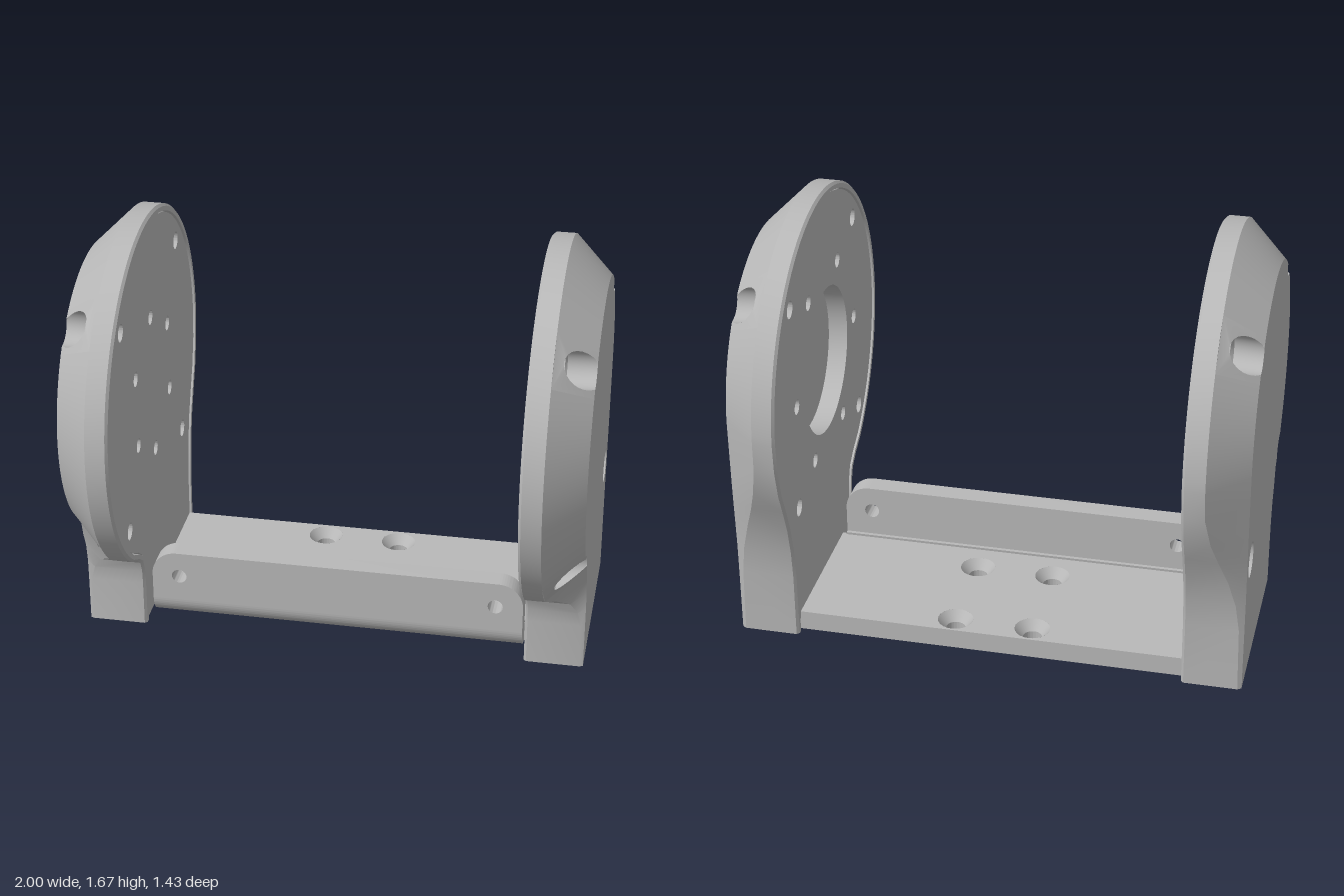
import * as THREE from 'three';
import { mergeGeometries, toCreasedNormals } from 'three/addons/utils/BufferGeometryUtils.js';

const CY = 0.965, R = 0.713, RI = 0.565;      // head centre height, rim radius, flat face radius
const HOLE = 0.43, RH = 0.608, RB = 0.07, RS = 0.035; // corner screws: offset, radius from centre, bore, shank
const FLOOR = 0.01;
const rad = THREE.MathUtils.degToRad;
const polar = (r, a) => [r * Math.cos(a), CY + r * Math.sin(a)];
const V = (p) => new THREE.Vector2(p[0], p[1]);

const grey = new THREE.MeshStandardMaterial({ color: 0xb8b8b8, side: THREE.DoubleSide });
grey.name = 'grey';

function add(parent, name, geometry) {
  const mesh = new THREE.Mesh(geometry, grey);
  mesh.name = name;
  parent.add(mesh);
  return mesh;
}
const smooth = (geo) => toCreasedNormals(geo, 0.45);

function box(parent, name, x0, x1, y0, y1, z0, z1) {
  const g = new THREE.BoxGeometry(x1 - x0, y1 - y0, z1 - z0);
  add(parent, name, g.translate((x0 + x1) / 2, (y0 + y1) / 2, (z0 + z1) / 2));
}

// Surface through rows of [x, y, z] points
function loft(rows) {
  const pos = [];
  for (let i = 0; i + 1 < rows.length; i++) {
    for (let j = 0; j + 1 < rows[i].length; j++) {
      const a = rows[i][j], b = rows[i][j + 1], c = rows[i + 1][j + 1], d = rows[i + 1][j];
      pos.push(...a, ...b, ...c, ...a, ...c, ...d);
    }
  }
  return new THREE.BufferGeometry().setAttribute('position', new THREE.Float32BufferAttribute(pos, 3));
}

// Filled outline in (z, y), lifted to x = height(z, y)
function sheet(points, height, holes = []) {
  const shape = new THREE.Shape(points.map(V));
  shape.holes = holes;
  const g = new THREE.ShapeGeometry(shape, 24).toNonIndexed();
  g.deleteAttribute('uv');
  g.deleteAttribute('normal');
  const p = g.attributes.position;
  for (let i = 0; i < p.count; i++) {
    const z = p.getX(i), y = p.getY(i);
    p.setXYZ(i, height(z, y), y, z);
  }
  return g;
}

const circle = (u, v, r) => new THREE.Path().absarc(u, v, r, 0, Math.PI * 2, true);
const extrude = (shape, depth) =>
  new THREE.ExtrudeGeometry(shape, { depth, bevelEnabled: false, curveSegments: 32 });
const cone = (z, y) => Math.min(1, 1 - (Math.hypot(z, y - CY) - RI));

// Outline stations: rim point p, face edge point q, rim depth x, angle a on the round head
function makeStations() {
  const s = [];
  const put = (pz, py, qz, qy, x) => s.push({ p: [pz, py], q: [qz, qy], x });
  put(0.27, FLOOR, 0.265, FLOOR, 0.985);
  put(0.27, 0.2, 0.265, 0.2, 0.985);
  put(0.275, 0.26, 0.267, 0.28, 0.97);
  put(0.295, 0.31, 0.28, 0.36, 0.94);
  put(0.34, 0.345, 0.31, 0.43, 0.89);
  for (let a = -54; a <= 180; a += 3) {
    s.push({ p: polar(R, rad(a)), q: polar(RI, rad(a)), x: 1 - (R - RI), a });
  }
  put(-0.702, 0.841, -0.56, 0.85, 0.855);
  put(-0.67, 0.721, -0.553, 0.7, 0.875);
  put(-0.63, 0.63, -0.547, 0.6, 0.9);
  put(-0.585, 0.52, -0.54, 0.5, 0.935);
  put(-0.555, 0.4, -0.533, 0.4, 0.965);
  put(-0.54, 0.28, -0.53, 0.28, 0.98);
  put(-0.535, FLOOR, -0.525, FLOOR, 0.985);
  return s;
}
const stations = makeStations();
const rimHoles = [-45, 45, 135];

// Rim outline moved inward
function inset(d) {
  return stations.map((s, i) => {
    const a = stations[Math.max(i - 1, 0)].p, b = stations[Math.min(i + 1, stations.length - 1)].p;
    const l = Math.hypot(b[0] - a[0], b[1] - a[1]);
    const end = i === 0 || i === stations.length - 1;
    return [s.p[0] - d * (b[1] - a[1]) / l, end ? FLOOR : s.p[1] + d * (b[0] - a[0]) / l];
  });
}

// Face edge with the screw bores cut out of the flat side or the chamfer side
function bittenEdge(list, chamferSide) {
  const beta = Math.acos((RH * RH + RB * RB - RI * RI) / (2 * RH * RB));
  const out = [];
  for (const s of list) {
    const a = rimHoles.find((h) => {
      const c = polar(RH, rad(h));
      return Math.hypot(s.q[0] - c[0], s.q[1] - c[1]) < RB;
    });
    if (a === undefined) { out.push(s.q); continue; }
    if (s.a !== a) continue;
    const c = polar(RH, rad(a)), end = chamferSide ? 2 * Math.PI - beta : -beta;
    for (let k = 0; k <= 16; k++) {
      const t = rad(a) + Math.PI + beta + (end - beta) * k / 16;
      out.push([c[0] + RB * Math.cos(t), c[1] + RB * Math.sin(t)]);
    }
  }
  return out;
}

function coverSkin() {
  const parts = [];
  const at = (pts, x) => pts.map(([z, y]) => [x, y, z]);
  // rim wall and inner lip
  const rim = stations.map((s) => s.p);
  parts.push(loft([
    stations.map((s) => [s.x, s.p[1], s.p[0]]), at(rim, 0.775),
    at(inset(0.01), 0.765), at(inset(0.028), 0.765), at(inset(0.028), 0.8),
  ]));
  // chamfer, with pierced pieces around the screws
  for (let i = 0; i + 1 < stations.length; i++) {
    const s = stations[i], n = stations[i + 1];
    const h = rimHoles.find((a) => s.a >= a - 9 && s.a < a + 9);
    if (h === undefined) {
      parts.push(loft([s, n].map((k) => [[k.x, k.p[1], k.p[0]], [1, k.q[1], k.q[0]]])));
    } else if (s.a === h - 9) {
      const part = stations.slice(i, i + 7);
      parts.push(sheet([...part.map((k) => k.p), ...bittenEdge(part, true).reverse()], cone));
    }
  }
  // flat outer face
  parts.push(sheet(bittenEdge(stations, false), () => 1, [circle(-HOLE, CY - HOLE, RB)]));
  return smooth(mergeGeometries(parts));
}

// Countersunk bore whose mouth follows the cover surface
function bore(z, y, height) {
  const ring = (r, fx) => Array.from({ length: 33 }, (_, k) => {
    const t = k / 32 * Math.PI * 2, u = z + r * Math.cos(t), v = y + r * Math.sin(t);
    return [fx(u, v), v, u];
  });
  return smooth(loft([ring(RB, height), ring(RB, () => 0.89), ring(RS, () => 0.86), ring(RS, () => 0.845)]));
}

function makeSide(name, isLeft) {
  const side = new THREE.Group();
  side.name = name;
  add(side, 'cover', coverSkin());
  for (const sz of [1, -1]) for (const sy of [1, -1]) {
    const flat = sz < 0 && sy < 0;
    add(side, 'screwBore', bore(sz * HOLE, CY + sy * HOLE, flat ? () => 1 : cone));
  }
  // inner plate with its bolt pattern
  const shape = new THREE.Shape(inset(0.034).map(V));
  for (const sz of [1, -1]) for (const sy of [1, -1]) shape.holes.push(circle(sz * HOLE, CY + sy * HOLE, RS));
  for (let k = 0; k < 6; k++) {
    const c = polar(isLeft ? 0.4 : 0.29, rad(isLeft ? k * 60 : 30 + k * 60));
    shape.holes.push(circle(c[0], c[1], 0.03));
  }
  if (isLeft) shape.holes.push(circle(0, CY, 0.3));
  add(side, 'innerPlate', smooth(extrude(shape, 0.078).rotateY(-Math.PI / 2).translate(0.85, 0, 0)));
  const back = new THREE.CircleGeometry(0.5, 48).rotateY(-Math.PI / 2);
  add(side, 'recessFloor', back.translate(0.852, CY, 0));
  // hollow foot, open below
  box(side, 'footOuterWall', 0.96, 0.998, FLOOR, 0.3, -0.524, 0.264);
  box(side, 'footFrontWall', 0.84, 0.98, FLOOR, 0.3, 0.235, 0.267);
  box(side, 'footBackWall', 0.84, 0.98, FLOOR, 0.3, -0.528, -0.5);
  box(side, 'footCeiling', 0.84, 0.97, 0.28, 0.3, -0.52, 0.26);
  if (!isLeft) side.scale.x = -1;
  return side;
}

function makeBase() {
  const base = new THREE.Group();
  base.name = 'base';
  // floor pan in two layers, so the screw holes are countersunk
  const layer = (half, r, y0, y1) => {
    const s = new THREE.Shape([[-half, -0.12], [half, -0.12], [half, 0.49], [-half, 0.49]].map(V));
    for (const x of [-0.155, 0.155]) for (const v of [0.41, 0.02]) s.holes.push(circle(x, v, r));
    return smooth(extrude(s, y1 - y0).rotateX(-Math.PI / 2).translate(0, y0, 0));
  };
  add(base, 'panLower', layer(0.9, 0.038, FLOOR, 0.05));
  add(base, 'panUpper', layer(0.768, RB, 0.05, 0.09));
  for (const x of [-0.155, 0.155]) for (const z of [-0.41, -0.02]) {
    add(base, 'countersink', new THREE.CylinderGeometry(RB, 0.038, 0.04, 32, 1, true).translate(x, 0.07, z));
  }
  // front flange with rounded top corners
  const f = new THREE.Shape();
  f.moveTo(-0.75, 0.1);
  f.lineTo(0.75, 0.1);
  f.lineTo(0.75, 0.215);
  f.absarc(0.65, 0.215, 0.1, 0, Math.PI / 2, false);
  f.lineTo(-0.65, 0.315);
  f.absarc(-0.65, 0.215, 0.1, Math.PI / 2, Math.PI, false);
  f.holes.push(circle(0.64, 0.21, 0.03), circle(-0.64, 0.21, 0.03));
  add(base, 'frontFlange', smooth(extrude(f, 0.085).translate(0, 0, 0.125)));
  // rounded bend under the flange
  const b = new THREE.Shape();
  b.moveTo(0.11, FLOOR);
  b.absarc(0.12, 0.1, 0.09, -Math.PI / 2, 0, false);
  b.lineTo(0.11, 0.1);
  add(base, 'flangeBend', smooth(extrude(b, 1.5).rotateY(-Math.PI / 2).translate(0.75, 0, 0)));
  return base;
}

export function createModel() {
  const model = new THREE.Group();
  model.name = 'bracket';
  model.add(makeBase(), makeSide('leftSide', true), makeSide('rightSide', false));
  model.position.y = -FLOOR;
  const root = new THREE.Group();
  root.name = 'mountingCradle';
  root.add(model);
  return root;
}
